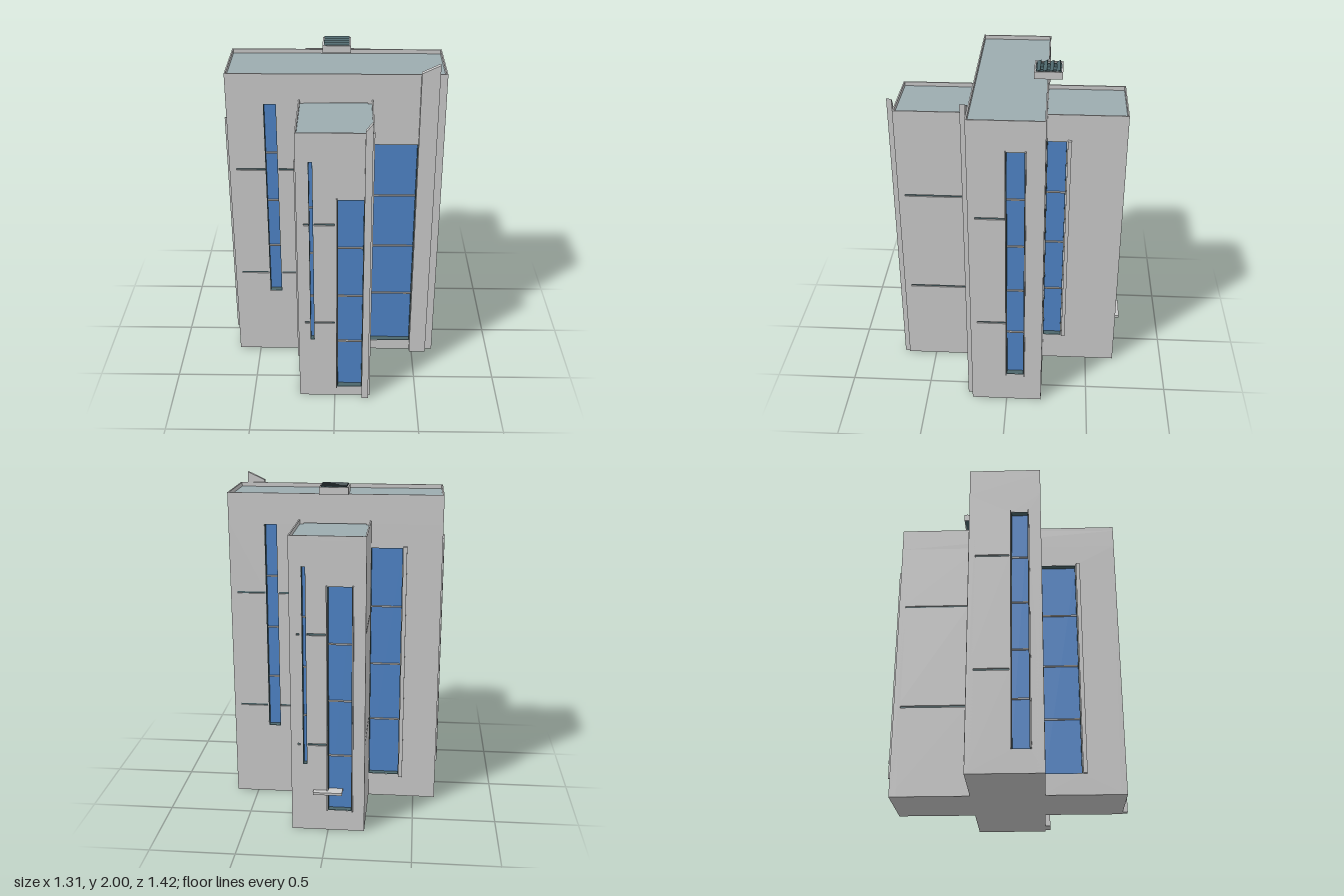
import * as THREE from 'three';

const mat = (color) => new THREE.MeshStandardMaterial({ color });
const grey = mat(0xcccccc);
const glass = mat(0x4f85c8);
const dark = mat(0x4c666b);
const roofMat = mat(0x9cacb0);

const BAR = { x: 0.635, z: 0.215, top: 1.935, wallTop: 1.76 };   // tall cross bar
const WING = { x: 0.215, z: 0.68, top: 1.78, wallTop: 1.64 };    // lower front-to-back bar
const DEPTH = 0.04;

function add(parent, name, geometry, material) {
  const mesh = new THREE.Mesh(geometry, material);
  mesh.name = name;
  parent.add(mesh);
  return mesh;
}

// Box given by its limits on each axis
function box(parent, name, [x0, x1], [y0, y1], [z0, z1], material = grey) {
  const mesh = add(parent, name, new THREE.BoxGeometry(x1 - x0, y1 - y0, z1 - z0), material);
  mesh.position.set((x0 + x1) / 2, (y0 + y1) / 2, (z0 + z1) / 2);
  return mesh;
}

const rectPoints = (u0, u1, v0, v1) =>
  [[u0, v0], [u1, v0], [u1, v1], [u0, v1]].map(([u, v]) => new THREE.Vector2(u, v));

// Rectangular plate pierced by rectangular holes
function plate(outer, holes, depth) {
  const shape = new THREE.Shape(rectPoints(...outer));
  holes.forEach((h) => shape.holes.push(new THREE.Path(rectPoints(...h))));
  return new THREE.ExtrudeGeometry(shape, { depth, bevelEnabled: false });
}

// Recessed window with dark lining and cross bars; u runs right, v up
function addWindow(wall, [u0, u1, v0, v1], panes) {
  const t = 0.003;
  const lining = add(wall, 'windowLining',
    plate([u0, u1, v0, v1], [[u0 + t, u1 - t, v0 + t, v1 - t]], DEPTH - 0.001), dark);
  lining.position.z = -DEPTH;
  box(wall, 'windowGlass', [u0, u1], [v0, v1], [-DEPTH - 0.005, -DEPTH + 0.004], glass);
  for (let i = 1; i < panes; i++) {
    const v = v0 + ((v1 - v0) * i) / panes;
    box(wall, 'windowBar', [u0, u1], [v - 0.004, v + 0.004], [-DEPTH, -DEPTH + 0.014]);
  }
}

// Upright fin with a slanting top
function addFin(wall, u0, u1, low, high) {
  const shape = new THREE.Shape([[u0, 0], [u1, 0], [u1, high], [u0, low]].map((p) => new THREE.Vector2(...p)));
  add(wall, 'fin', new THREE.ExtrudeGeometry(shape, { depth: 0.03, bevelEnabled: false }), grey);
}

// One facade: turn is quarter turns about y, dist its distance from the axis
function addWall(model, { name, turn, dist, u, top, windows = [], grooves = [], trims = [], fin }) {
  const pivot = new THREE.Group();
  pivot.name = name;
  pivot.rotation.y = (turn * Math.PI) / 2;
  const wall = new THREE.Group();
  wall.name = name + 'Face';
  wall.position.z = dist;
  pivot.add(wall);
  model.add(pivot);

  const slots = grooves.map(([a, b, v]) => [a, b, v - 0.006, v + 0.006]);
  const slab = add(wall, 'wall', plate([u[0], u[1], 0, top], [...windows.map((w) => w.slice(0, 4)), ...slots], DEPTH), grey);
  slab.position.z = -DEPTH;
  windows.forEach((w) => addWindow(wall, w, w[4] ?? 4));
  slots.forEach(([a, b, v0, v1]) => box(wall, 'groove', [a, b], [v0, v1], [-0.03, -0.008], dark));
  trims.forEach(([a, b, v0, v1, out]) => box(wall, 'windowTrim', [a, b], [v0, v1], [-0.01, out]));
  if (fin) addFin(wall, ...fin);
  return wall;
}

// Solid upper band, thin parapet rim and sunken roof panel
function addRoof(model, name, { x, z, top, wallTop }) {
  const deck = top - 0.025;
  box(model, name + 'Band', [-x, x], [wallTop, deck - 0.002], [-z, z]);
  box(model, name, [-x + 0.006, x - 0.006], [deck - 0.01, deck], [-z + 0.006, z - 0.006], roofMat);
  const e = 0.008;
  const rim = add(model, name + 'Parapet', plate([-x, x, -z, z], [[-x + e, x - e, -z + e, z - e]], top - deck + 0.002), grey);
  rim.rotation.x = -Math.PI / 2;
  rim.position.y = deck - 0.002;
}

// Louvred roof vent
function addVent(model) {
  const vent = new THREE.Group();
  vent.name = 'roofVent';
  vent.position.set(0, 1.91, -0.2125);
  const frame = add(vent, 'ventFrame', plate([-0.085, 0.085, -0.083, 0.083], [[-0.076, 0.076, -0.074, 0.074]], 0.044), grey);
  frame.rotation.x = -Math.PI / 2;
  frame.position.y = 0.03;
  box(vent, 'ventBase', [-0.08, 0.08], [0.03, 0.052], [-0.078, 0.078], dark);
  for (let i = 0; i < 4; i++) {
    const blade = box(vent, 'ventBlade', [-0.076, 0.076], [0.076, 0.08], [-0.012, 0.012], dark);
    blade.position.z = -0.057 + i * 0.038;
    blade.rotation.x = 0.45;
  }
  for (const s of [-1, 1]) box(vent, 'ventRail', [s * 0.05 - 0.004, s * 0.05 + 0.004], [0.05, 0.075], [-0.074, 0.074], dark);
  model.add(vent);
}

export function createModel() {
  const model = new THREE.Group();
  model.name = 'towerBlock';

  const bar = { dist: BAR.z, top: BAR.wallTop };
  const barEnd = { dist: BAR.x, top: BAR.wallTop, u: [-0.215, 0.215] };
  const wingSide = { dist: WING.x, top: WING.wallTop };
  const wingEnd = { dist: WING.z, top: WING.wallTop, u: [-0.215, 0.215] };
  const leftHalf = (n) => [-n, -0.185];
  const rightHalf = (n) => [0.185, n];
  const pair = (a, b, high, low) => [[a, b, high], [a, b, low]];

  // Facades that repeat on opposite sides, half a turn apart
  for (const [side, turn] of [['front', 0], ['back', 2]]) {
    addWall(model, { ...bar, name: side + 'SlitWall', turn, u: leftHalf(0.635),
      windows: [[-0.42, -0.345, 0.46, 1.75]],
      grooves: [...pair(-0.605, -0.424, 1.33, 0.6), ...pair(-0.341, -0.24, 1.33, 0.6)] });
  }
  for (const [side, turn] of [['right', 1], ['left', 3]]) {
    addWall(model, { ...wingSide, name: side + 'GroovedWall', turn, u: leftHalf(0.68),
      grooves: pair(-0.655, -0.245, 1.22, 0.55) });
  }

  // Front
  addWall(model, { ...bar, name: 'frontGlazedWall', turn: 0, u: rightHalf(0.635),
    windows: [[0.215, 0.485, 0.07, 1.5]], fin: [0.485, 0.59, 1.95, 2.0] });
  const slit = [-0.145, -0.12, 0.425, 1.61];
  const endGrooves = [...pair(-0.208, -0.149, 1.22, 0.55), ...pair(-0.116, 0, 1.22, 0.55)];
  addWall(model, { ...wingEnd, name: 'frontWingEnd', turn: 0,
    windows: [slit, [0.015, 0.165, 0.065, 1.38]], grooves: endGrooves,
    trims: [[0.007, 0.015, 0.065, 1.39, 0.015]], fin: [0.165, 0.205, 1.8, 1.85] });

  // Right
  addWall(model, { ...barEnd, name: 'rightBarEnd', turn: 1,
    windows: [[0, 0.105, 0.2, 1.75, 5]], grooves: pair(-0.21, -0.006, 1.33, 0.6),
    trims: [[-0.005, 0, 0.2, 1.757, 0.015], [0.105, 0.112, 0.2, 1.757, 0.02]] });
  addWall(model, { ...wingSide, name: 'rightGlazedWall', turn: 1, u: rightHalf(0.68),
    windows: [[0.215, 0.33, 0.185, 1.61]], trims: [[0.335, 0.357, 0.19, 1.62, 0.02]] });

  // Back, with a small canopy over the entrance
  addWall(model, { ...bar, name: 'backGlazedWall', turn: 2, u: rightHalf(0.635),
    windows: [[0.215, 0.403, 0.15, 1.62]], trims: [[0.405, 0.428, 0.14, 1.63, 0.02]] });
  const backEnd = addWall(model, { ...wingEnd, name: 'backWingEnd', turn: 2,
    windows: [slit, [0, 0.14, 0.13, 1.5]], grooves: endGrooves.map(([a, b, v]) => [a, b - 0.01, v]),
    trims: [[-0.007, 0, 0.13, 1.505, 0.012], [0.14, 0.148, 0.13, 1.505, 0.02]] });
  box(backEnd, 'entranceCanopy', [-0.085, 0.085], [0.245, 0.26], [-0.03, 0.035]);

  // Left
  addWall(model, { ...barEnd, name: 'leftBarEnd', turn: 3,
    windows: [[0.037, 0.137, 0.135, 1.63, 5]], grooves: pair(-0.21, 0.025, 1.33, 0.6),
    trims: [[0.031, 0.037, 0.135, 1.635, 0.015], [0.137, 0.145, 0.135, 1.635, 0.02]] });
  addWall(model, { ...wingSide, name: 'leftGlazedWall', turn: 3, u: rightHalf(0.68),
    windows: [[0.215, 0.43, 0.125, 1.5]], trims: [[0.433, 0.457, 0.125, 1.505, 0.022]] });

  // Roofs, floor and vent
  addRoof(model, 'barRoof', BAR);
  addRoof(model, 'wingRoof', WING);
  box(model, 'barFloor', [-0.63, 0.63], [0, 0.02], [-0.21, 0.21]);
  box(model, 'wingFloor', [-0.21, 0.21], [0, 0.02], [-0.675, 0.675]);
  addVent(model);
  return model;
}
